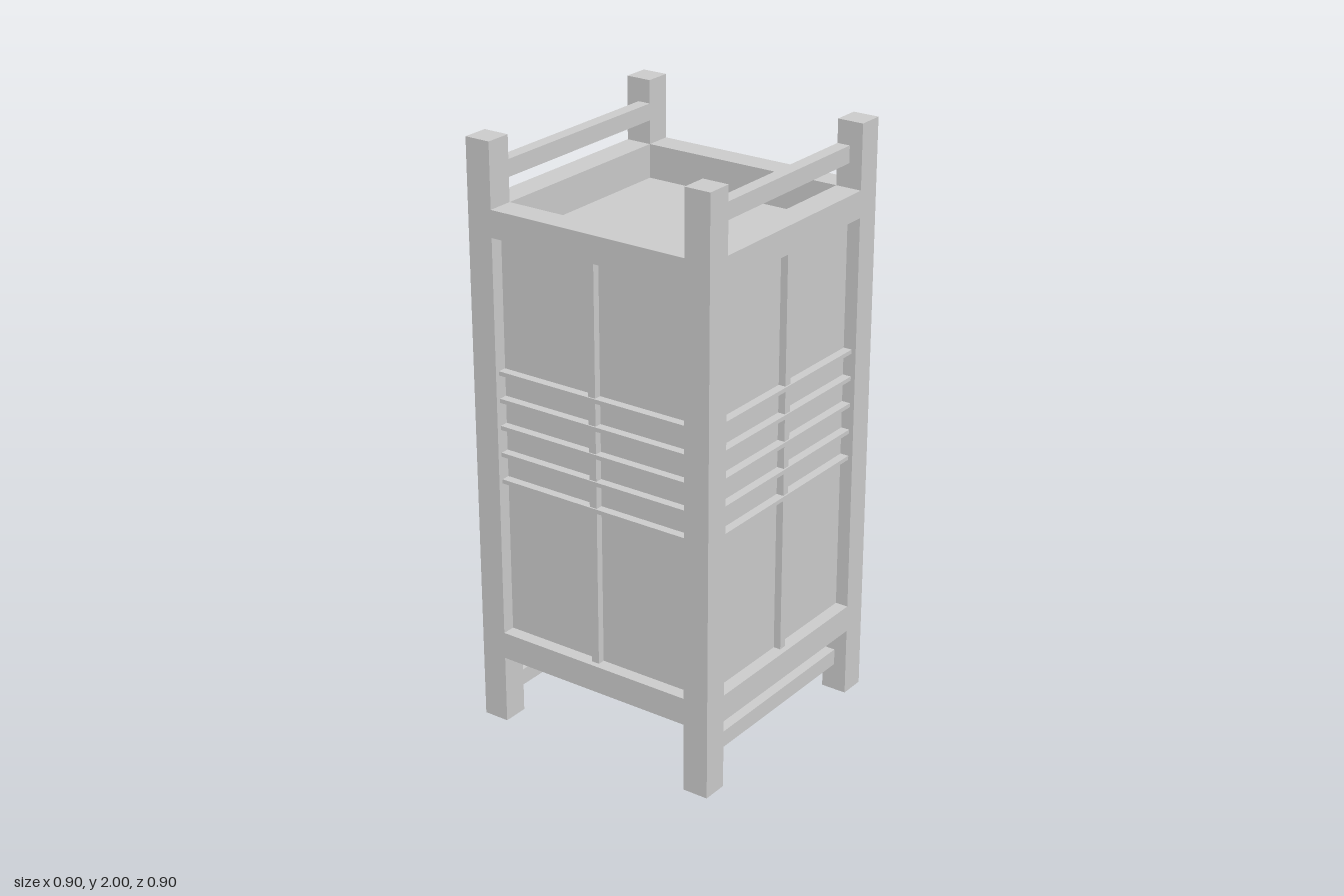
import * as THREE from 'three';

const OUT = 0.45;    // outer half width
const IN = 0.36;     // inner half width, between posts
const PANEL = 0.405; // outer face of the recessed panels

export function createModel() {
  const model = new THREE.Group();
  const material = new THREE.MeshStandardMaterial({ color: 0xcccccc, flatShading: true });

  // Box given by its minimum and maximum corners
  function addBox(parent, name, [x0, y0, z0], [x1, y1, z1]) {
    const mesh = new THREE.Mesh(new THREE.BoxGeometry(x1 - x0, y1 - y0, z1 - z0), material);
    mesh.position.set((x0 + x1) / 2, (y0 + y1) / 2, (z0 + z1) / 2);
    mesh.name = name;
    parent.add(mesh);
  }

  // Four corner posts
  for (const x of [-OUT, IN]) {
    for (const z of [-OUT, IN]) {
      addBox(model, 'cornerPost', [x, 0, z], [x + OUT - IN, 2, z + OUT - IN]);
    }
  }

  // Four identical sides: rails, recessed panel and lattice
  for (let i = 0; i < 4; i++) {
    const side = new THREE.Group();
    side.name = ['frontSide', 'leftSide', 'backSide', 'rightSide'][i];
    side.rotation.y = i * Math.PI / 2;
    model.add(side);

    addBox(side, 'lowerRail', [-IN, 0.237, IN], [IN, 0.33, OUT]);
    addBox(side, 'upperRail', [-IN, 1.695, IN], [IN, 1.785, OUT]);
    addBox(side, 'panel', [-IN, 0.33, IN], [IN, 1.695, PANEL]);
    addBox(side, 'verticalStrip', [-0.0135, 0.33, PANEL], [0.0135, 1.695, 0.43]);
    for (let k = 0; k < 5; k++) {
      const y = 0.872 + k * 0.093;
      addBox(side, 'crossSlat', [-IN, y - 0.007, PANEL], [IN, y + 0.007, 0.435]);
    }

    // Thin bars above and below, on the front and back only
    if (i % 2 === 0) {
      addBox(side, 'lowerBar', [-IN, 0.095, IN], [IN, 0.152, PANEL]);
      addBox(side, 'upperBar', [-IN, 1.865, IN], [IN, 1.922, PANEL]);
    }
  }

  // Closed core whose ends form the sunken top and bottom
  addBox(model, 'core', [-IN, 0.352, -IN], [IN, 1.67, IN]);

  return model;
}
